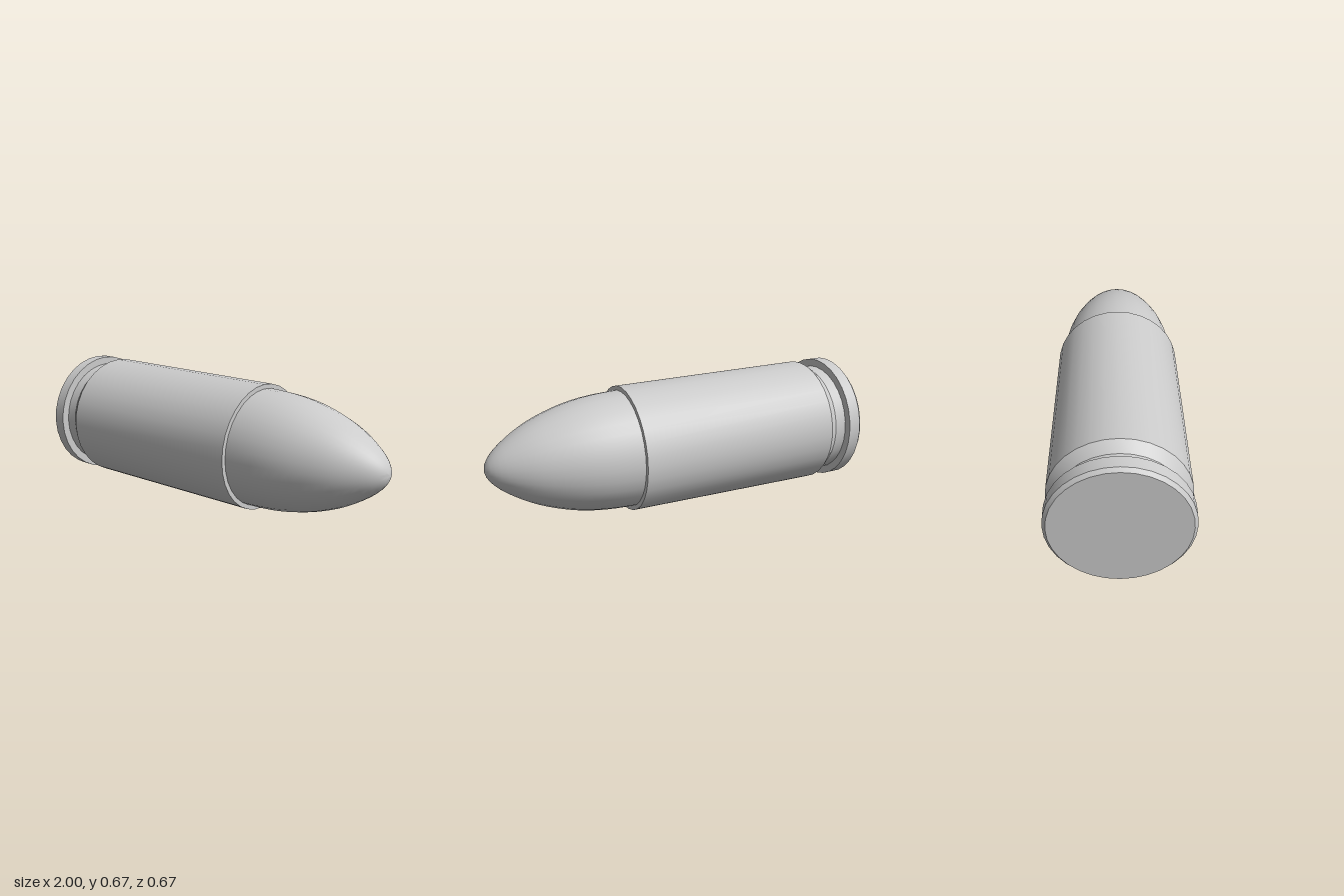
import * as THREE from 'three';
import { toCreasedNormals } from 'three/addons/utils/BufferGeometryUtils.js';

const SIDES = 32;
const RADIUS = 0.336;

// Turns a profile of [x, radius] points, listed from back to tip, around the x axis.
function turned(name, profile, crease) {
  const points = profile.map(([x, r]) => new THREE.Vector2(r, x));
  const geometry = new THREE.LatheGeometry(points, SIDES);
  geometry.rotateZ(-Math.PI / 2);
  const material = new THREE.MeshStandardMaterial({ color: 0xcccccc, side: THREE.DoubleSide });
  const mesh = new THREE.Mesh(toCreasedNormals(geometry, crease), material);
  mesh.name = name;
  mesh.position.y = RADIUS;
  return mesh;
}

export function createModel() {
  const model = new THREE.Group();
  model.name = 'cartridge';

  // Casing: flat base, bevelled rim, extractor groove, tapered wall, open mouth
  const casing = turned('casing', [
    [-1, 0], [-1, 0.32], [-0.983, RADIUS], [-0.917, RADIUS],
    [-0.917, 0.296], [-0.855, 0.296], [-0.802, 0.334],
    [0.284, 0.326], [0.284, 0.303], [0.24, 0.303],
  ], 0.5);

  // Projectile: rounded ogive with a blunt tip, seated in the mouth
  const ogive = new THREE.SplineCurve([
    [0.24, 0.303], [0.284, 0.303], [0.38, 0.299], [0.48, 0.289], [0.58, 0.27],
    [0.675, 0.242], [0.765, 0.207], [0.84, 0.168], [0.91, 0.122],
    [0.96, 0.079], [0.992, 0.035], [1, 0],
  ].map(([x, r]) => new THREE.Vector2(x, r)));
  const profile = ogive.getPoints(22).map((p) => [p.x, Math.max(p.y, 0)]);
  const projectile = turned('projectile', profile, 0.9);

  model.add(casing, projectile);
  return model;
}
